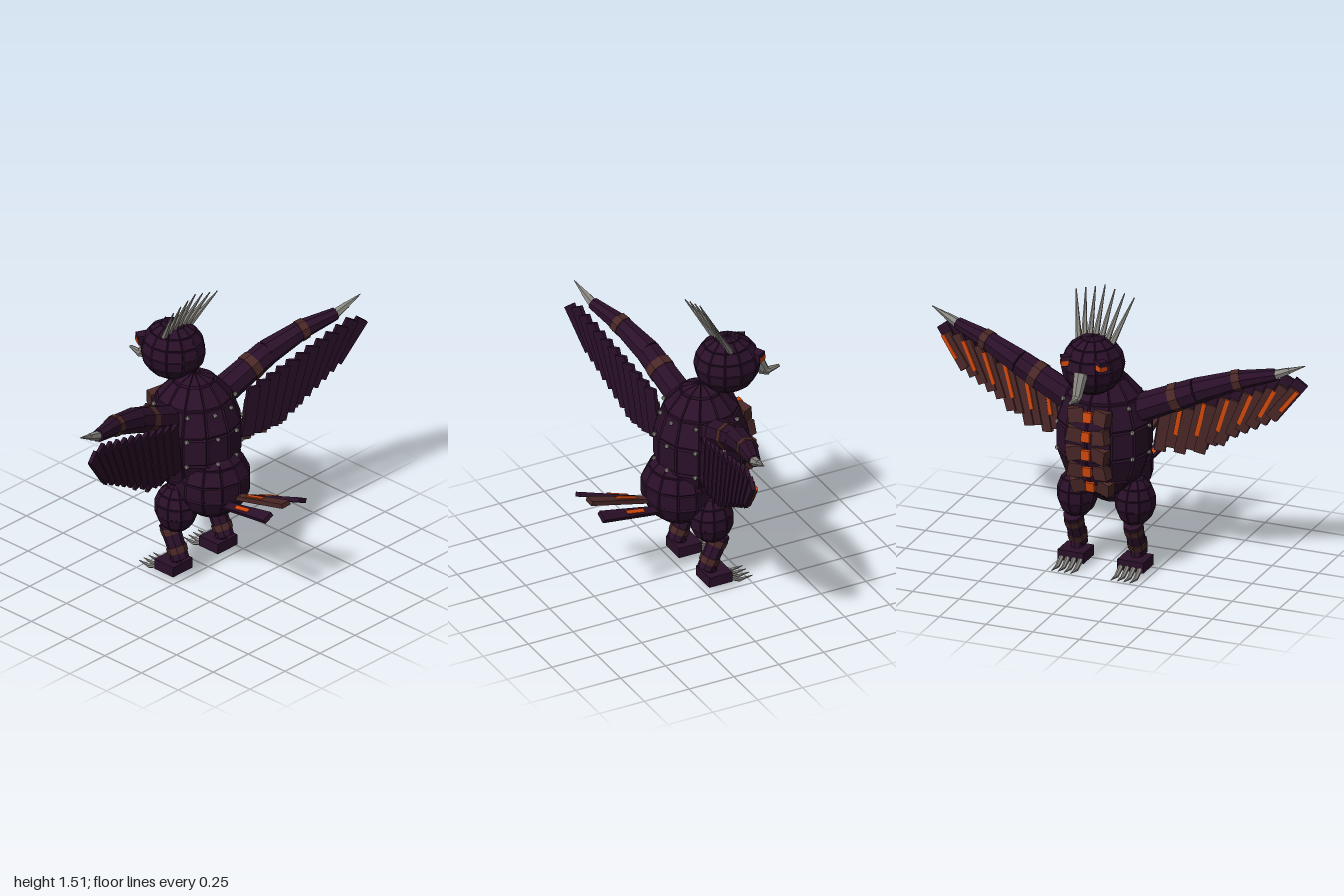
import * as THREE from 'three';

const mat = (name, color) => Object.assign(new THREE.MeshStandardMaterial({ color }), { name });
const V = (x, y, z) => new THREE.Vector3(x, y, z);
const lerp = THREE.MathUtils.lerp;

export function createModel() {
  const plum = mat('dark plum', 0x2a1029);
  const brown = mat('rust brown', 0x4a2827);
  const glow = mat('ember orange', 0xd2480c);
  const bone = mat('bone grey', 0x8a8781);
  const model = new THREE.Group();
  model.name = 'armouredBird';

  const add = (name, geo, material, parent = model) => {
    const flat = geo.index ? geo.toNonIndexed() : geo;
    flat.computeVertexNormals();
    const m = new THREE.Mesh(flat, material);
    m.name = name;
    parent.add(m);
    return m;
  };

  // Box with position and rotation
  const box = (name, size, pos, rot, material, parent = model) => {
    const m = add(name, new THREE.BoxGeometry(...size), material, parent);
    m.position.set(...pos);
    m.rotation.set(...rot);
    return m;
  };

  // Tapered rod between two points
  const rod = (name, a, b, ra, rb, material, sides = 8, parent = model) => {
    const d = b.clone().sub(a);
    const m = add(name, new THREE.CylinderGeometry(rb, ra, d.length(), sides), material, parent);
    m.position.copy(a).lerp(b, 0.5);
    m.quaternion.setFromUnitVectors(V(0, 1, 0), d.normalize());
    return m;
  };

  // Ellipsoid covered in raised plates with bevelled seams
  const plated = (name, pos, radii, seg, rings) => {
    const p = [];
    const at = (i, j) => {
      const t = (Math.PI * j) / rings, a = (2 * Math.PI * i) / seg;
      return V(radii[0] * Math.sin(t) * Math.sin(a), radii[1] * Math.cos(t), radii[2] * Math.sin(t) * Math.cos(a));
    };
    const tri = (...vs) => vs.forEach((v) => p.push(v.x, v.y, v.z));
    const quad = (a, b, c, d) => { tri(a, b, c); tri(a, c, d); };
    for (let i = 0; i < seg; i++) {
      for (let j = 0; j < rings; j++) {
        const o = [at(i, j), at(i, j + 1), at(i + 1, j + 1), at(i + 1, j)];
        const mid = V(0, 0, 0);
        o.forEach((v) => mid.addScaledVector(v, 0.25));
        const n = o.map((v) => v.clone().lerp(mid, 0.13).multiplyScalar(1.035));
        quad(...n);
        for (let k = 0; k < 4; k++) quad(o[k], o[(k + 1) % 4], n[(k + 1) % 4], n[k]);
      }
    }
    const g = new THREE.BufferGeometry();
    g.setAttribute('position', new THREE.Float32BufferAttribute(p, 3));
    add(name, g, plum).position.set(...pos);
  };

  // Body masses
  plated('torso', [0, 0.735, -0.095], [0.24, 0.325, 0.235], 12, 7);
  plated('rump', [0, 0.515, 0.03], [0.195, 0.187, 0.185], 12, 7);
  plated('head', [0, 1.146, -0.24], [0.154, 0.149, 0.165], 12, 8);

  // Crest spines
  for (let i = -3; i <= 3; i++) {
    const k = Math.abs(i);
    rod('crestSpine', V(i * 0.029, 1.265 - k * 0.004, -0.215), V(i * 0.052, 1.51 - k * 0.015, -0.088), 0.017, 0.003, bone, 6);
  }

  // Hooked beak
  rod('beakBase', V(0, 1.15, -0.39), V(0, 1.045, -0.445), 0.038, 0.026, bone);
  rod('beakHook', V(0, 1.05, -0.43), V(0, 1.033, -0.47), 0.026, 0.022, bone);
  rod('beakTip', V(0, 1.035, -0.46), V(0, 1.045, -0.53), 0.019, 0.008, bone);

  // Chest plates with glowing core between them
  for (let i = 0; i < 5; i++) {
    const y = 0.885 - i * 0.095;
    const z = -0.095 - 0.238 * Math.sqrt(1 - ((y - 0.735) / 0.34) ** 2);
    const tilt = (0.735 - y) * -0.9;
    box('chestCore', [0.045, 0.052, 0.03], [0, y, z + 0.002], [tilt, 0, 0], glow);
    for (const s of [-1, 1])
      box('chestPlate', [0.08, 0.075, 0.05], [s * 0.07, y, z + 0.02], [tilt, s * 0.3, s * (i % 2 ? 0.18 : -0.15)], brown);
  }

  // Rivets around the torso
  for (const y of [0.92, 0.8, 0.66]) {
    const r = 1.01 * Math.sqrt(1 - ((y - 0.735) / 0.36) ** 2);
    for (const deg of [16, 55, 90, 122]) for (const s of [-1, 1]) {
      const a = THREE.MathUtils.degToRad(deg);
      add('rivet', new THREE.SphereGeometry(0.012, 6, 5), bone)
        .position.set(s * 0.24 * r * Math.sin(a), y, -0.095 + 0.237 * r * Math.cos(a));
    }
  }

  for (const s of [-1, 1]) {
    // Eyes under brow blocks
    box('brow', [0.07, 0.05, 0.05], [s * 0.085, 1.197, -0.357], [0.1, s * 0.5, s * -0.1], plum);
    box('eye', [0.045, 0.024, 0.045], [s * 0.096, 1.187, -0.367], [0.1, s * 0.5, s * -0.1], glow);

    // Legs
    plated('thigh', [s * 0.155, 0.38, -0.072], [0.1, 0.128, 0.113], 10, 7);
    const hip = V(s * 0.16, 0.275, -0.118), ankle = V(s * 0.16, 0.1, -0.036);
    rod('shin', hip, ankle, 0.05, 0.045, plum);
    for (const t of [0.2, 0.72])
      rod('shinBand', hip.clone().lerp(ankle, t - 0.08), hip.clone().lerp(ankle, t + 0.1), 0.053, 0.051, brown);
    rod('ankle', V(s * 0.16, 0.13, -0.055), V(s * 0.16, 0.06, -0.07), 0.036, 0.03, plum);
    box('foot', [0.14, 0.055, 0.128], [s * 0.16, 0.057, -0.084], [0, 0, 0], plum);
    for (let i = 0; i < 4; i++) {
      const x = s * (0.108 + i * 0.034);
      rod('toe', V(x, 0.05, -0.135), V(x, 0.016, -0.2), 0.014, 0.011, bone, 6);
      rod('claw', V(x, 0.016, -0.195), V(x, 0.022, -0.27), 0.011, 0.002, bone, 6);
    }

    // Wing arm
    const wing = new THREE.Group();
    wing.name = s > 0 ? 'leftWing' : 'rightWing';
    model.add(wing);
    const joints = [[0.17, 0.875, -0.09], [0.47, 1.005, -0.05], [0.67, 1.075, 0.0], [0.85, 1.112, 0.057]].map(([x, y, z]) => V(s * x, y, z));
    const radii = [0.075, 0.066, 0.05, 0.032];
    for (let i = 0; i < 3; i++) rod('wingArm', joints[i], joints[i + 1], radii[i], radii[i + 1], plum, 8, wing);
    rod('wingBand', joints[0].clone().lerp(joints[1], 0.6), joints[0].clone().lerp(joints[1], 0.74), 0.074, 0.072, brown, 8, wing);
    rod('wingBand', joints[2].clone().lerp(joints[1], 0.1), joints[2].clone().lerp(joints[3], 0.1), 0.056, 0.054, brown, 8, wing);
    rod('wingClawBase', joints[3], V(s * 0.92, 1.14, 0.069), 0.026, 0.017, bone, 6, wing);
    rod('wingClawTip', V(s * 0.915, 1.138, 0.068), V(s * 1.0, 1.172, 0.083), 0.016, 0.002, bone, 6, wing);

    // Overlapping feathers, turned like louvres
    const count = 12;
    for (let i = 0; i < count; i++) {
      const t = i / (count - 1);
      const top = V(lerp(0.965, 0.29, t), i ? lerp(1.1, 0.92, t) : 1.065, 0);
      const low = V(lerp(0.81, 0.25, t), 0, 0);
      low.y = Math.max(0.655, 0.87 - 0.57 * (0.81 - low.x));
      const d = top.clone().sub(low), len = d.length();
      const feather = new THREE.Group();
      feather.name = 'feather';
      feather.position.set((s * (top.x + low.x)) / 2, (top.y + low.y) / 2, lerp(0.11, 0.03, t));
      feather.rotation.set(0, s * -0.25, s * -Math.atan2(d.x, d.y));
      wing.add(feather);
      box('featherBlade', [0.072, len, 0.02], [0, 0, 0], [0, 0, 0], plum, feather);
      const drop = i > 4 && i % 2 ? 0.025 : 0;
      box('featherBacking', [0.058, len * 0.8, 0.018], [0, -len * 0.1 - drop, -0.016], [0, 0, 0], brown, feather);
      if (i % 2 === 0)
        box('featherEmber', [0.022, len * 0.55, 0.008], [s * 0.012, len * 0.03, -0.028], [0, 0, 0], glow, feather);
    }
  }

  // Tail feathers: tapered slats with ember strips
  for (const s of [-1, 0, 1]) {
    const tail = new THREE.Group();
    tail.name = 'tailFeather';
    const g = new THREE.BoxGeometry(1, 0.024, 0.4);
    const p = g.attributes.position;
    for (let i = 0; i < p.count; i++) p.setX(i, p.getX(i) * (p.getZ(i) > 0 ? 0.06 : 0.036));
    add('tailBlade', g, s ? plum : brown, tail);
    box('tailEmber', [0.022, 0.008, 0.11], [0, 0.013, -0.01], [0, 0, 0], glow, tail);
    tail.position.set(s * 0.09, s ? 0.485 : 0.512, 0.335);
    tail.rotation.set(-0.25, s * 0.17, s * -0.5, 'YXZ');
    model.add(tail);
  }

  return model;
}
